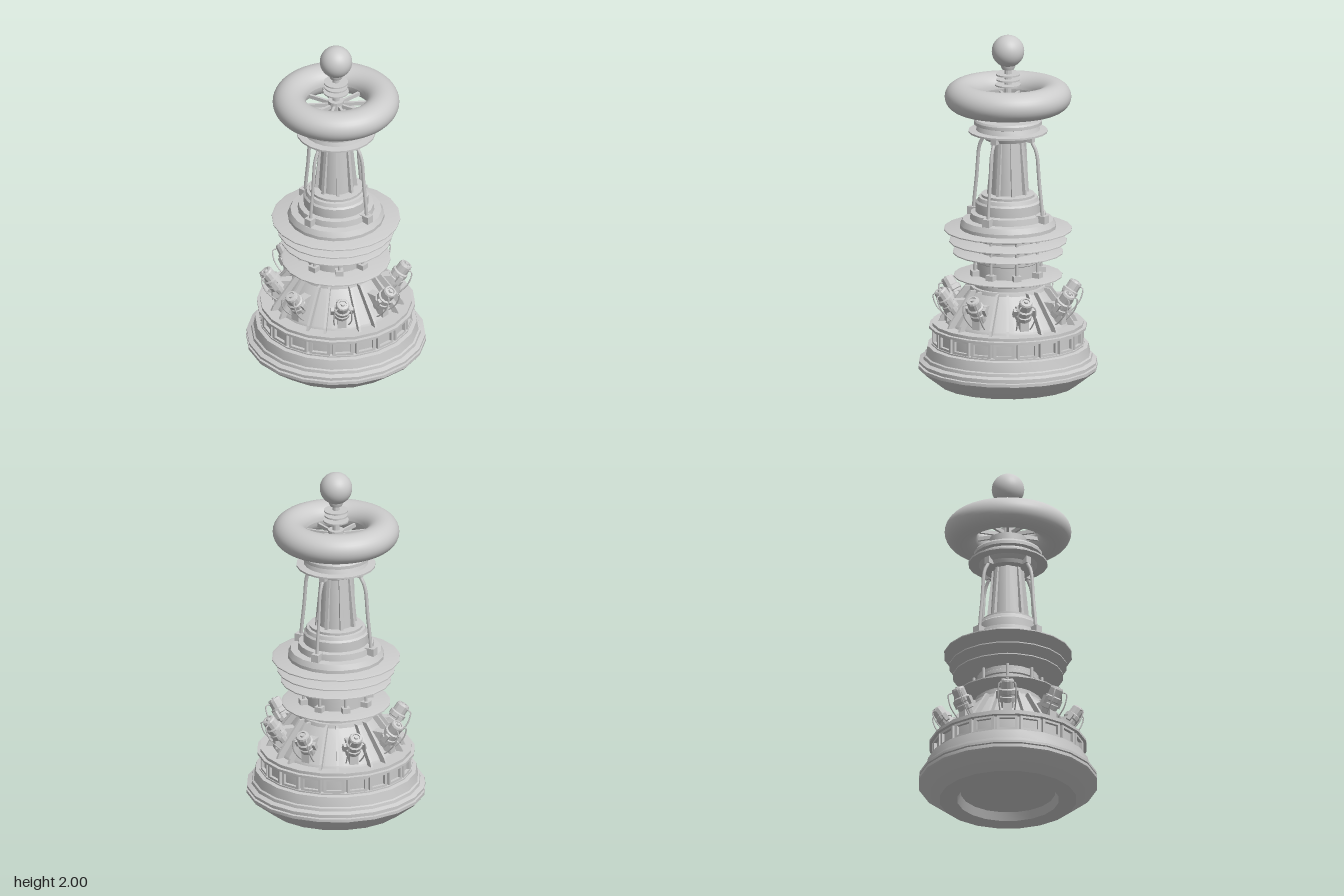
import * as THREE from 'three';
import { toCreasedNormals } from 'three/addons/utils/BufferGeometryUtils.js';

const mat = new THREE.MeshStandardMaterial({ color: 0xcccccc });

function add(parent, name, geo, x = 0, y = 0, z = 0) {
  const mesh = new THREE.Mesh(geo, mat);
  mesh.name = name;
  mesh.position.set(x, y, z);
  parent.add(mesh);
  return mesh;
}

// Turned part: profile of [radius, height] from bottom to top
function turned(parent, name, profile, sides = 20) {
  const geo = new THREE.LatheGeometry(profile.map(([r, y]) => new THREE.Vector2(r, y)), sides);
  return add(parent, name, toCreasedNormals(geo, 0.38));
}

function disc(parent, name, r, y0, y1, sides = 20) {
  return turned(parent, name, [[0, y0], [r, y0], [r, y1], [0, y1]], sides);
}

// Repeats a part around y; inside each copy +z points outward
function around(parent, name, angles, build) {
  for (const a of angles) {
    const arm = new THREE.Group();
    arm.name = name;
    arm.rotation.y = THREE.MathUtils.degToRad(a);
    build(arm);
    parent.add(arm);
  }
}
const steps = (n, start = 0) => Array.from({ length: n }, (_, i) => start + i * 360 / n);

function tube(parent, name, pts, r, tension = 0.2) {
  const path = new THREE.CatmullRomCurve3(pts.map(p => new THREE.Vector3(...p)), false, 'catmullrom', tension);
  return add(parent, name, new THREE.TubeGeometry(path, 16, r, 6));
}

// Upright plate in the z-y plane, given as [outward, height] corners
function fin(parent, name, corners, width) {
  const shape = new THREE.Shape(corners.map(([z, y]) => new THREE.Vector2(z, y)));
  const geo = new THREE.ExtrudeGeometry(shape, { depth: width, bevelEnabled: false });
  geo.translate(0, 0, -width / 2);
  geo.rotateY(-Math.PI / 2);
  return add(parent, name, geo);
}

function buildBase(g) {
  turned(g, 'base', [
    [0, 0.045], [0.265, 0.045], [0.285, 0], [0.385, 0], [0.495, 0.085], [0.503, 0.095], [0.503, 0.112],
    [0.488, 0.114], [0.488, 0.122], [0.5, 0.124], [0.5, 0.138], [0.475, 0.148], [0.472, 0.165],
    [0.462, 0.17], [0.452, 0.225], [0.43, 0.23], [0.43, 0.238], [0.408, 0.24], [0.408, 0.325],
    [0.443, 0.325], [0.443, 0.338], [0.425, 0.34], [0.425, 0.357], [0.35, 0.357],
    [0.345, 0.37], [0.215, 0.545], [0.21, 0.565], [0, 0.565],
  ]);

  // Framed panels around the band
  const frame = new THREE.Shape();
  frame.moveTo(-0.058, -0.042).lineTo(0.058, -0.042).lineTo(0.058, 0.042).lineTo(-0.058, 0.042).closePath();
  const hole = new THREE.Path();
  hole.moveTo(-0.043, -0.029).lineTo(-0.043, 0.029).lineTo(0.043, 0.029).lineTo(0.043, -0.029).closePath();
  frame.holes.push(hole);
  const frameGeo = new THREE.ExtrudeGeometry(frame, { depth: 0.025, bevelEnabled: false });
  around(g, 'panel', steps(20, 9), arm => add(arm, 'panelFrame', frameGeo, 0, 0.281, 0.396));

  // Paired ribs on the sloping deck
  around(g, 'rib', [...steps(8, 15), ...steps(8, 30)], arm =>
    fin(arm, 'ribPlate', [[0.3, 0.357], [0.388, 0.357], [0.375, 0.385], [0.24, 0.56], [0.19, 0.56]], 0.014));
}

function buildLamps(g) {
  around(g, 'lamp', steps(8), arm => {
    fin(arm, 'lampMount', [[0.26, 0.42], [0.36, 0.38], [0.36, 0.46], [0.31, 0.5], [0.24, 0.5]], 0.05);
    const lamp = new THREE.Group();
    lamp.name = 'lampHead';
    lamp.position.set(0, 0.425, 0.305);
    lamp.rotation.x = 0.6;
    arm.add(lamp);
    turned(lamp, 'lampBody', [
      [0, 0], [0.034, 0], [0.036, 0.03], [0.047, 0.034], [0.047, 0.062], [0.041, 0.066], [0.041, 0.076],
      [0.047, 0.08], [0.047, 0.104], [0.038, 0.11], [0.038, 0.152], [0.033, 0.162], [0.022, 0.164],
      [0.021, 0.158], [0.012, 0.158], [0.01, 0.168], [0, 0.168],
    ], 12);
    for (const s of [-1, 1]) {
      add(lamp, 'lampLug', new THREE.BoxGeometry(0.022, 0.045, 0.024), s * 0.052, 0.075, 0);
      tube(lamp, 'lampCable', [[s * 0.03, 0.145, 0.02], [s * 0.046, 0.145, 0.042],
        [s * 0.05, 0.08, 0.06], [s * 0.042, 0.0, 0.05], [s * 0.035, -0.05, 0.03]], 0.004, 0.5);
    }
  });
}

function buildColumn(g) {
  turned(g, 'column', [
    [0.19, 0.56], [0.19, 0.6], [0.172, 0.605], [0.172, 0.7], [0.18, 0.705], [0.18, 0.725],
    [0.172, 0.73], [0.172, 0.84], [0.2, 0.845], [0.2, 0.88], [0, 0.88],
  ]);
  for (const [y, r] of [[0.622, 0.305], [0.757, 0.31], [0.82, 0.33], [0.889, 0.36]]) {
    turned(g, 'coolingDisc', [[0, y - 0.007], [r - 0.012, y - 0.007], [r, y - 0.003], [r, y + 0.003],
      [r - 0.012, y + 0.007], [0, y + 0.007]]);
  }
  around(g, 'columnRod', steps(8), arm => {
    tube(arm, 'rod', [[0, 0.62, 0.19], [0, 0.76, 0.19], [0, 0.89, 0.19]], 0.009);
    add(arm, 'rodFoot', new THREE.BoxGeometry(0.045, 0.03, 0.045), 0, 0.644, 0.19);
  });

  // Stepped shoulder above the discs
  turned(g, 'shoulder', [
    [0, 0.89], [0.27, 0.89], [0.27, 0.915], [0.255, 0.945], [0.215, 0.95], [0.21, 0.985], [0.182, 0.99],
    [0.182, 1.045], [0.172, 1.055], [0.165, 1.075], [0.15, 1.078], [0.15, 1.092], [0.12, 1.095], [0, 1.095],
  ]);
}

function buildMast(g) {
  turned(g, 'mast', [[0.1, 1.09], [0.08, 1.42]]);
  around(g, 'mastFin', steps(8), arm =>
    fin(arm, 'finPlate', [[0.06, 1.09], [0.12, 1.09], [0.089, 1.41], [0.06, 1.41]], 0.018));

  // Bent stays between shoulder and collar
  around(g, 'stay', steps(4), arm => {
    add(arm, 'stayFoot', new THREE.BoxGeometry(0.045, 0.05, 0.06), 0, 0.965, 0.22);
    tube(arm, 'stayRod', [[0, 0.97, 0.223], [0, 1.06, 0.215], [0, 1.17, 0.202], [0, 1.32, 0.19],
      [0, 1.37, 0.175], [0, 1.41, 0.15], [0, 1.45, 0.145]], 0.01);
    add(arm, 'stayClamp', new THREE.BoxGeometry(0.035, 0.045, 0.035), 0, 1.425, 0.148);
  });

  turned(g, 'collar', [
    [0, 1.405], [0.13, 1.405], [0.14, 1.425], [0.155, 1.435], [0.165, 1.444], [0.222, 1.446], [0.222, 1.456],
    [0.18, 1.46], [0.17, 1.488], [0.192, 1.494], [0.192, 1.512], [0.185, 1.523],
    [0.105, 1.524], [0.105, 1.6], [0, 1.6],
  ]);
}

function buildTop(g) {
  // Large ring, slightly wider than tall in section
  const section = Array.from({ length: 33 }, (_, i) => {
    const a = -Math.PI + i * Math.PI / 16;
    return new THREE.Vector2(0.262 + 0.092 * Math.cos(a), 1.648 + 0.083 * Math.sin(a));
  });
  add(g, 'topRing', new THREE.LatheGeometry(section, 64));
  around(g, 'spoke', steps(10, 9), arm =>
    add(arm, 'spokeBar', new THREE.BoxGeometry(0.014, 0.022, 0.17), 0, 1.63, 0.1));

  // Pole with thin discs and the ball
  disc(g, 'pole', 0.02, 1.59, 1.84, 12);
  disc(g, 'poleHub', 0.045, 1.6, 1.66, 16);
  for (const [y, r] of [[1.715, 0.072], [1.745, 0.065], [1.775, 0.068]]) disc(g, 'poleDisc', r, y - 0.004, y + 0.004);
  turned(g, 'ballCollar', [[0, 1.805], [0.034, 1.805], [0.042, 1.825], [0.042, 1.84], [0, 1.84]], 16);
  add(g, 'ball', new THREE.SphereGeometry(0.091, 32, 20), 0, 1.909, 0);
}

export function createModel() {
  const model = new THREE.Group();
  model.name = 'tower';
  for (const [name, build] of [['baseSection', buildBase], ['lamps', buildLamps],
    ['columnSection', buildColumn], ['mastSection', buildMast], ['topSection', buildTop]]) {
    const part = new THREE.Group();
    part.name = name;
    build(part);
    model.add(part);
  }
  return model;
}
